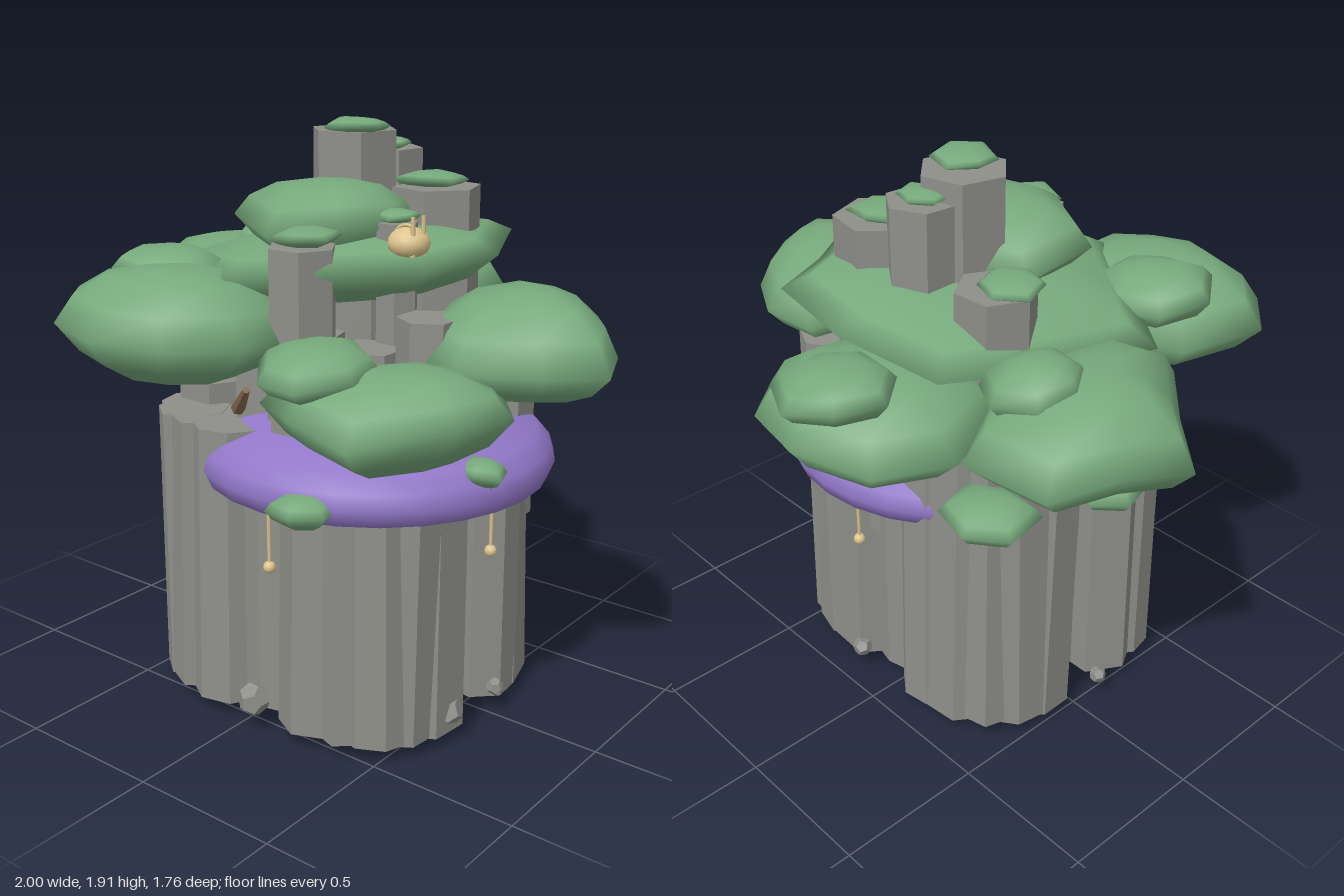
import * as THREE from 'three';
import { mergeVertices } from 'three/addons/utils/BufferGeometryUtils.js';

const mat = (name, color, extra = {}) => {
  const m = new THREE.MeshStandardMaterial({ color, ...extra });
  m.name = name;
  return m;
};

export function createModel() {
  const model = new THREE.Group();
  model.name = 'overgrownRockPillar';
  const rock = mat('grey rock', 0x8e8f89, { flatShading: true });
  const leaf = mat('leaf green', 0x77a97c);
  const purple = mat('purple cap', 0x9277c8);
  const gills = mat('olive gills', 0x8a7a55, { side: THREE.DoubleSide });
  const wood = mat('brown wood', 0x85694f, { flatShading: true });
  const tan = mat('pale tan', 0xdcc48e);

  let seed = 11;
  const rand = (a, b) => {
    seed = (seed * 16807) % 2147483647;
    return a + (b - a) * (seed / 2147483647);
  };
  const add = (name, geo, material, x = 0, y = 0, z = 0) => {
    const m = new THREE.Mesh(geo, material);
    m.name = name;
    m.position.set(x, y, z);
    model.add(m);
    return m;
  };

  // Upright faceted stone column from y0 to y1
  const column = (name, x, z, r, y0, y1, sides = 6, taper = 0.96) => {
    const c = add(name, new THREE.CylinderGeometry(r * taper, r, y1 - y0, sides), rock, x, (y0 + y1) / 2, z);
    c.rotation.y = rand(0, 6);
    return c;
  };

  // Main pillar: core, outer wall of columns on a rounded square, taller inner columns
  const cx = 0.05, cz = 0.07;
  const squarish = (v) => Math.sign(v) * Math.abs(v) ** 0.47;
  column('pillarCore', cx, cz, 0.45, 0.06, 0.95, 14, 0.97);
  const wall = 20;
  for (let i = 0; i < wall; i++) {
    const t = ((i + 0.5) / wall) * Math.PI * 2;
    const r = rand(0.12, 0.155);
    const x = cx + squarish(Math.cos(t)) * (0.575 - r), z = cz + squarish(Math.sin(t)) * (0.505 - r);
    const top = x < -0.1 ? (z > 0.25 ? 0.98 : rand(1.04, 1.17)) : rand(0.84, 0.95);
    const c = column('wallColumn', x, z, r, rand(0.04, 0.055), top, 6 + (i % 3));
    c.rotation.z = Math.cos(t) * 0.02;
    c.rotation.x = -Math.sin(t) * 0.02;
  }
  for (let i = 0; i < 9; i++) {
    const t = (i / 9) * Math.PI * 2;
    column('innerColumn', 0.03 + Math.cos(t) * 0.3, 0.03 + Math.sin(t) * 0.28, rand(0.11, 0.14), 0.9, rand(1.16, 1.38));
  }
  column('centreColumn', 0, 0, 0.24, 0.9, 1.43, 8);
  [[0.16, -0.26, 0.13, 1.2], [-0.36, -0.1, 0.15, 1.17], [0.44, -0.26, 0.12, 1.2], [0.4, 0.4, 0.11, 0.95]]
    .forEach(([x, z, r, y]) => column('shoulderColumn', x, z, r, 0.6, y));

  // Columns breaking through the foliage: x, z, radius, top
  [[-0.03, -0.08, 0.145, 1.87], [0.0, -0.22, 0.12, 1.8], [0.2, -0.22, 0.15, 1.69], [-0.3, -0.2, 0.13, 1.61],
    [0.13, 0.38, 0.11, 1.57], [0.45, 0.17, 0.1, 1.36], [0.27, 0.09, 0.07, 1.62]]
    .forEach(([x, z, r, y]) => column('summitColumn', x, z, r, 1.0, y, 6, 1));

  // Foliage clump: corner outline (x, z) swept through stacked rings, rim height uneven by wobble
  const clump = (name, outline, y0, ye, y1, tilt = 0, wobble = 0.03) => {
    const n = outline.length;
    const mx = outline.reduce((s, p) => s + p[0], 0) / n;
    const mz = outline.reduce((s, p) => s + p[1], 0) / n;
    const lift = outline.map(() => rand(-wobble, wobble));
    const rings = [[0, 0], [0.5, 0.06], [0.8, 0.45], [1, 1], [0.84, 1.48], [0.56, 1.84], [0.28, 1.96], [0, 2]];
    const pos = [], idx = [];
    rings.forEach(([s, h]) => outline.forEach(([x, z], j) => {
      const y = h < 1 ? y0 + (ye - y0) * h : ye + (y1 - ye) * (h - 1);
      pos.push(mx + (x - mx) * s, y + tilt * (x - mx) * s + lift[j] * s * s, mz + (z - mz) * s);
    }));
    for (let i = 0; i < rings.length - 1; i++) for (let j = 0; j < n; j++) {
      const k = (j + 1) % n, a = i * n, b = a + n;
      if (i > 0) idx.push(a + j, b + j, a + k);
      if (i < rings.length - 2) idx.push(a + k, b + j, b + k);
    }
    let g = new THREE.BufferGeometry();
    g.setAttribute('position', new THREE.Float32BufferAttribute(pos, 3));
    g.setIndex(idx);
    g = mergeVertices(g, 1e-4);
    g.computeVertexNormals();
    return add(name, g, leaf);
  };
  // Irregular round outline for the smaller clumps
  const round = (x, z, rx, rz = rx, n = 7) => Array.from({ length: n }, (_, i) => {
    const t = (i / n) * Math.PI * 2 + 0.3, k = rand(0.92, 1.08);
    return [x + Math.cos(t) * rx * k, z + Math.sin(t) * rz * k];
  });

  clump('crownFoliage', [[0.58, 0], [0.46, 0.2], [0.25, 0.42], [-0.09, 0.52], [-0.35, 0.36], [-0.61, 0.18],
    [-0.5, -0.18], [-0.38, -0.5], [0, -0.56], [0.29, -0.55], [0.4, -0.32]], 1.34, 1.47, 1.57, 0.1, 0.02);
  clump('crownDome', [[0.27, 0.05], [0.21, 0.3], [0.0, 0.4], [-0.29, 0.22], [-0.28, -0.05], [0, -0.17], [0.2, -0.12]],
    1.48, 1.59, 1.73);
  clump('frontFoliage', [[0.12, 0.64], [-0.06, 0.8], [-0.28, 0.88], [-0.52, 0.8], [-0.66, 0.64], [-0.58, 0.35],
    [-0.35, 0.2], [0, 0.25], [0.12, 0.42]], 1.15, 1.31, 1.49);
  clump('leftwardFoliage', [[-0.35, 0], [-0.42, 0.22], [-0.6, 0.28], [-0.8, 0.07], [-1, -0.1], [-0.92, -0.3],
    [-0.83, -0.52], [-0.52, -0.54], [-0.36, -0.3]], 1.12, 1.27, 1.45);
  clump('backFoliage', [[0.2, -0.5], [0.15, -0.3], [-0.15, -0.2], [-0.45, -0.3], [-0.52, -0.56], [-0.4, -0.77],
    [-0.18, -0.88], [0.05, -0.84], [0.2, -0.67]], 1.12, 1.26, 1.44);
  clump('sideFoliage', [[1, 0.05], [0.85, 0.18], [0.62, 0.3], [0.42, 0.22], [0.33, -0.05], [0.4, -0.38],
    [0.62, -0.39], [0.82, -0.28], [0.93, -0.13]], 1.12, 1.25, 1.44);
  clump('lowerFoliage', [[0.82, 0.27], [0.78, 0.5], [0.55, 0.71], [0.3, 0.66], [0.1, 0.55], [0.2, 0.28],
    [0.45, 0.13], [0.7, 0.12]], 0.97, 1.12, 1.26, 0.05);

  // Secondary clumps: x, z, rx, rz, bottom, top
  [[-0.38, 0.41, 0.2, 0.19, 1.34, 1.52], [-0.54, -0.27, 0.16, 0.16, 1.32, 1.5], [-0.17, -0.7, 0.2, 0.18, 1.33, 1.49],
    [0.28, 0.5, 0.19, 0.2, 1.16, 1.32]]
    .forEach(([x, z, rx, rz, a, b]) => clump('smallFoliage', round(x, z, rx, rz), a, (a + b) / 2, b));

  // Moss caps on columns and tufts on the wall: x, y, z, radius, half height
  [[0.01, 1.885, -0.04, 0.11, 0.025], [0.0, 1.815, -0.22, 0.09, 0.02], [0.18, 1.71, -0.22, 0.12, 0.025],
    [-0.34, 1.63, -0.18, 0.11, 0.025], [0.15, 1.6, 0.38, 0.11, 0.028], [0.26, 1.635, 0.08, 0.075, 0.02],
    [-0.31, 1.09, 0.18, 0.08, 0.022], [0.31, 0.84, 0.6, 0.11, 0.05], [0.68, 0.93, 0.21, 0.08, 0.04],
    [-0.46, 0.97, -0.38, 0.16, 0.065], [-0.56, 0.93, 0.05, 0.12, 0.06]]
    .forEach(([x, y, z, r, h]) => clump('mossTuft', round(x, z, r, r * 0.95, 6), y - h, y, y + h, 0, 0.01));

  // Shelf mushroom wrapped round one side of the pillar
  const shelf = (pts) => new THREE.LatheGeometry(pts.map(([x, y]) => new THREE.Vector2(x, y)), 28);
  add('shelfCap', shelf([[0.52, 0.84], [0.54, 0.79], [0.57, 0.8], [0.59, 0.85], [0.575, 0.9], [0.53, 0.95],
    [0.44, 0.98], [0.32, 1.03], [0.15, 1.09], [0, 1.1]]), purple, 0.16, 0, 0.05);
  add('shelfGills', shelf([[0.3, 0.9], [0.53, 0.82]]), gills, 0.16, 0, 0.05);

  // Hanging pods under the shelf
  [[0.16, 0.585], [0.625, 0.06], [0.1, -0.445]].forEach(([x, z]) => {
    add('podThread', new THREE.CylinderGeometry(0.006, 0.006, 0.22, 6), tan, x, 0.72, z);
    add('pod', new THREE.SphereGeometry(0.02, 12, 8), tan, x, 0.61, z);
  });

  // Tan bulb with upright stalks near the summit
  add('summitBulb', new THREE.SphereGeometry(0.066, 16, 10), tan, 0.365, 1.575, 0.16).scale.y = 0.75;
  [[0.41, 0.15], [0.4, 0.19]].forEach(([x, z]) =>
    add('bulbStalk', new THREE.CylinderGeometry(0.006, 0.009, 0.12, 6), tan, x, 1.6, z));
  add('bulbLoop', new THREE.TorusGeometry(0.05, 0.006, 6, 16, Math.PI), tan, 0.365, 1.58, 0.17);

  // Tilted root stub under the base and broken branches
  add('rootStub', new THREE.CylinderGeometry(0.13, 0.12, 0.06, 12), wood, 0.07, 0.054, 0.01).rotation.z = -0.2;
  [[-0.22, 1.13, 0.32, 0.7], [-0.09, 1.06, 0.42, -0.7], [0.1, 1.14, -0.4, 0.2]].forEach(([x, y, z, tilt]) => {
    const b = add('branch', new THREE.CylinderGeometry(0.012, 0.024, 0.15, 6), wood, x, y, z);
    b.rotation.set(z > 0 ? 0.6 : -1.1, 0, tilt);
  });

  // Loose stones round the foot and small chips underneath
  [[0.06, 0.11, 0.56, 0.055], [0.58, 0.1, 0.22, 0.055], [-0.52, 0.08, 0.1, 0.03], [0.61, 0.09, -0.02, 0.03],
    [0.15, 0.09, -0.42, 0.035]].forEach(([x, y, z, r]) =>
    add('looseStone', new THREE.DodecahedronGeometry(r), rock, x, y, z).rotation.set(x * 9, z * 5, 1));
  for (let i = 0; i < 16; i++) {
    const t = i * 2.4, r = 0.18 + 0.013 * i;
    add('baseChip', new THREE.TetrahedronGeometry(0.022), i % 2 ? rock : wood,
      cx + Math.cos(t) * r, 0.045, cz + Math.sin(t) * r).rotation.set(t, i, 0);
  }
  return model;
}
